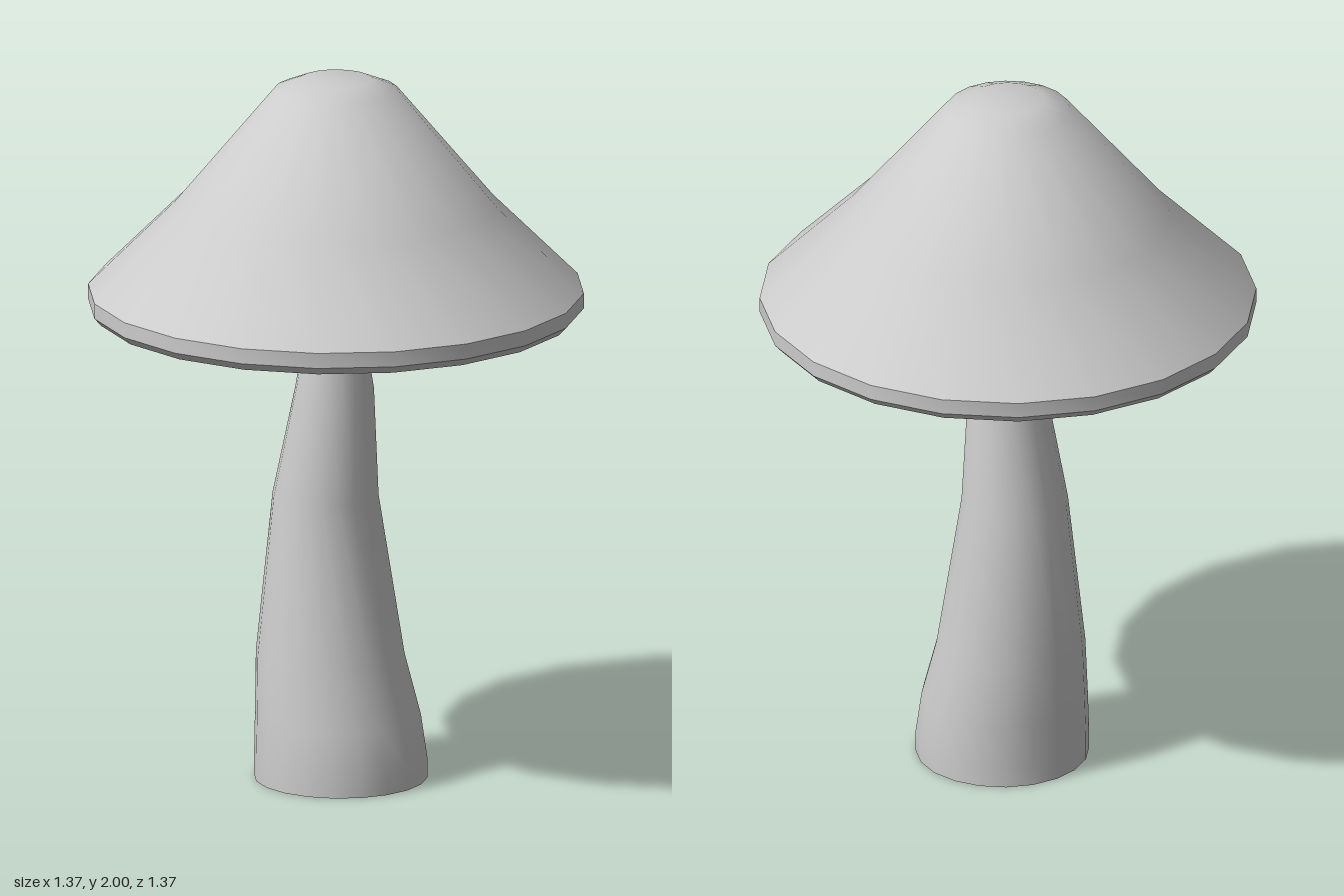
import * as THREE from 'three';
import { toCreasedNormals } from 'three/addons/utils/BufferGeometryUtils.js';

const SIDES = 20;
const material = new THREE.MeshStandardMaterial({ color: 0xcccccc });

function lathe(profile) {
  return new THREE.LatheGeometry(profile.map(([r, y]) => new THREE.Vector2(r, y)), SIDES);
}

function addPart(group, name, geometry) {
  const mesh = new THREE.Mesh(toCreasedNormals(geometry, 0.68), material);
  mesh.name = name;
  group.add(mesh);
}

export function createModel() {
  const group = new THREE.Group();
  group.name = 'mushroom';

  // Hollow cap: inside from the apex down, around the rim, up the outside
  addPart(group, 'cap', lathe([
    [0, 1.95], [0.09, 1.95], [0.14, 1.93], [0.42, 1.6], [0.65, 1.37],
    [0.65, 1.335], [0.667, 1.335], [0.687, 1.357], [0.687, 1.4],
    [0.447, 1.64], [0.172, 1.97], [0.1, 2], [0, 2],
  ]));

  // Bent, tapering stem: rings of [radius, height, z offset]
  const rings = [
    [0, 0, 0], [0.24, 0, 0], [0.24, 0.06, 0], [0.23, 0.18, -0.01],
    [0.206, 0.35, -0.038], [0.147, 0.8, -0.055], [0.109, 1.11, -0.022],
    [0.073, 1.335, -0.022], [0.032, 1.59, -0.02], [0.02, 1.61, -0.02], [0, 1.615, -0.02],
  ];
  const stem = lathe(rings);
  const pos = stem.attributes.position;
  for (let i = 0; i < pos.count; i++) {
    pos.setX(i, pos.getX(i) + 0.02);
    pos.setZ(i, pos.getZ(i) + rings[i % rings.length][2]);
  }
  addPart(group, 'stem', stem);

  return group;
}
